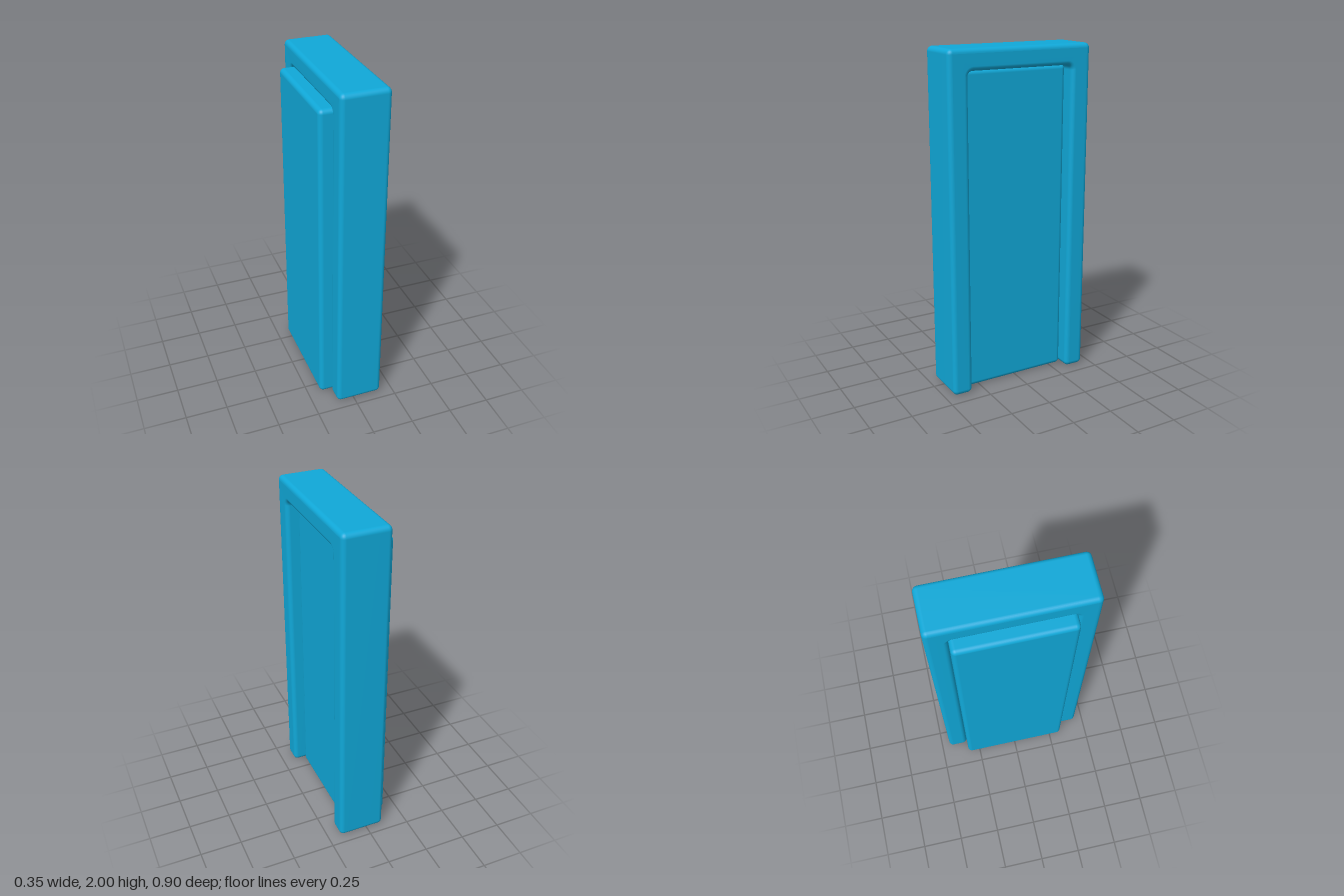
import * as THREE from 'three';
import { mergeVertices } from 'three/addons/utils/BufferGeometryUtils.js';
import { RoundedBoxGeometry } from 'three/addons/geometries/RoundedBoxGeometry.js';

const HALF_WIDTH = 0.448, HEIGHT = 2;
const DOOR_HALF = 0.327, DOOR_HEIGHT = 1.88;
const THICKNESS = 0.28, OFFSET = 0.035;
const BEVEL = 0.026;

// Closed outline with a quarter-circle round at every right-angled corner
function roundedOutline(points, radius) {
  const corners = points.map(([x, y]) => new THREE.Vector2(x, y));
  const shape = new THREE.Shape();
  const towards = (from, to, d) =>
    to.clone().sub(from).normalize().multiplyScalar(d).add(from);
  corners.forEach((c, i) => {
    const prev = corners[(i + corners.length - 1) % corners.length];
    const next = corners[(i + 1) % corners.length];
    const a = towards(c, prev, radius), b = towards(c, next, radius);
    const ka = towards(c, prev, radius * 0.448), kb = towards(c, next, radius * 0.448);
    if (i === 0) shape.moveTo(a.x, a.y);
    else shape.lineTo(a.x, a.y);
    shape.bezierCurveTo(ka.x, ka.y, kb.x, kb.y, b.x, b.y);
  });
  shape.closePath();
  return shape;
}

export function createModel() {
  const group = new THREE.Group();
  group.name = 'doorway';
  const material = new THREE.MeshStandardMaterial({ color: 0x10a8d8 });

  // Door frame: two posts and a lintel in one piece, all edges softened
  const outline = roundedOutline([
    [-HALF_WIDTH, 0], [-DOOR_HALF, 0], [-DOOR_HALF, DOOR_HEIGHT], [DOOR_HALF, DOOR_HEIGHT],
    [DOOR_HALF, 0], [HALF_WIDTH, 0], [HALF_WIDTH, HEIGHT], [-HALF_WIDTH, HEIGHT],
  ], 0.029);
  let frameGeometry = new THREE.ExtrudeGeometry(outline, {
    depth: THICKNESS - 2 * BEVEL,
    bevelThickness: BEVEL,
    bevelSize: BEVEL,
    bevelOffset: -BEVEL,
    bevelSegments: 6,
    curveSegments: 6,
  });
  frameGeometry.translate(0, 0, -(THICKNESS / 2 - BEVEL));
  frameGeometry.rotateY(Math.PI / 2);
  frameGeometry.deleteAttribute('normal');
  frameGeometry.deleteAttribute('uv');
  frameGeometry = mergeVertices(frameGeometry, 1e-5);
  frameGeometry.computeVertexNormals();
  const frame = new THREE.Mesh(frameGeometry, material);
  frame.name = 'doorFrame';
  frame.position.x = OFFSET;
  group.add(frame);

  // Door panel: same thickness, recessed on one side and proud on the other
  const door = new THREE.Mesh(
    new RoundedBoxGeometry(THICKNESS, DOOR_HEIGHT, 2 * DOOR_HALF, 6, BEVEL), material);
  door.name = 'doorPanel';
  door.position.set(-OFFSET, DOOR_HEIGHT / 2, 0);
  group.add(door);

  return group;
}
